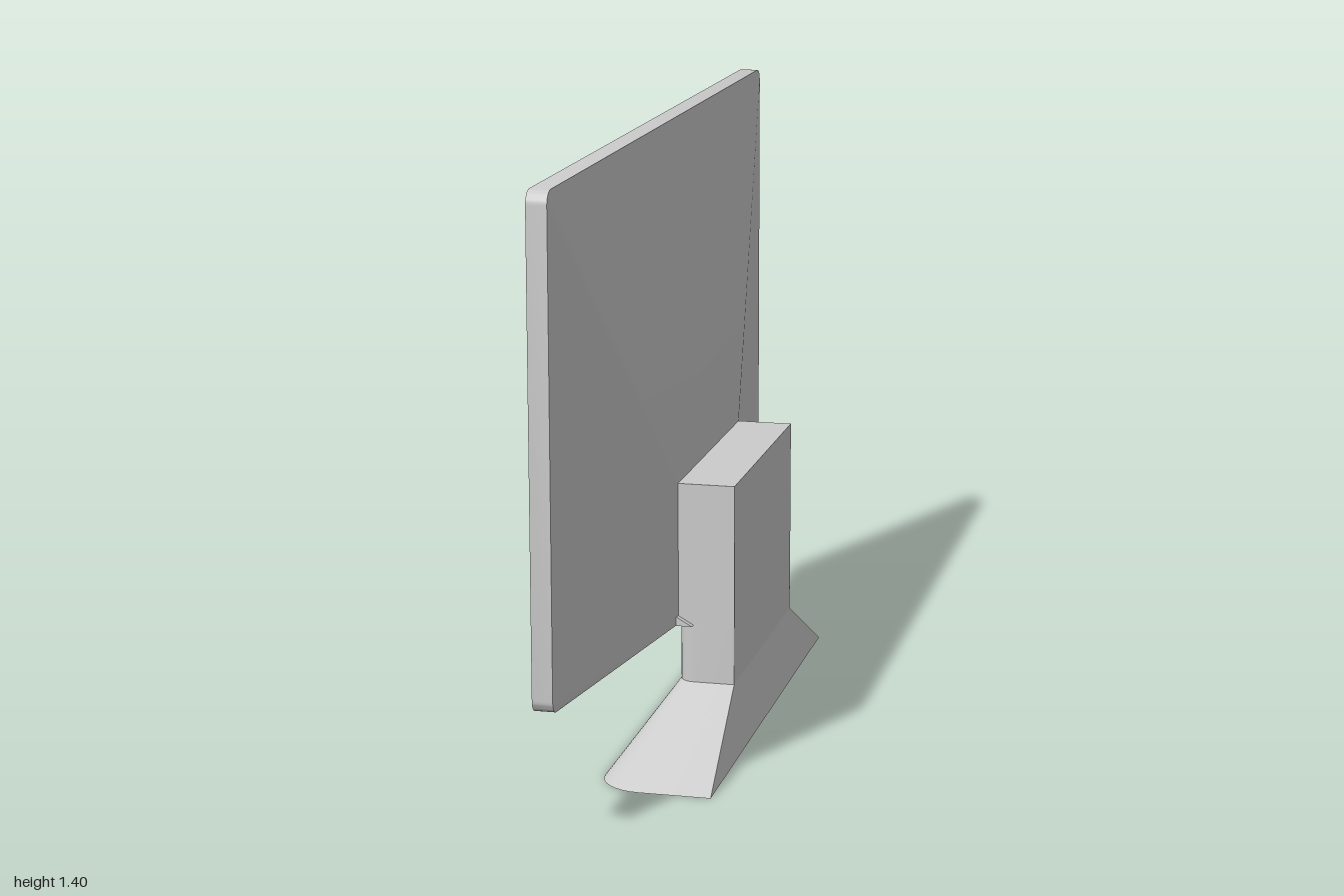
import * as THREE from 'three';
import { toCreasedNormals } from 'three/addons/utils/BufferGeometryUtils.js';

const STEPS = 8;

// Counter-clockwise rounded rectangle; lower and upper v edges may have different radii.
function roundRect(u0, u1, v0, v1, rLow, rHigh = rLow) {
  const corners = [
    [u1 - rLow, v0 + rLow, rLow, -0.5], [u1 - rHigh, v1 - rHigh, rHigh, 0],
    [u0 + rHigh, v1 - rHigh, rHigh, 0.5], [u0 + rLow, v0 + rLow, rLow, 1],
  ];
  const pts = [];
  for (const [cu, cv, r, start] of corners) {
    for (let i = 0; i <= STEPS; i++) {
      const a = Math.PI * (start + 0.5 * i / STEPS);
      pts.push([cu + r * Math.cos(a), cv + r * Math.sin(a)]);
    }
  }
  return pts;
}

// Rings across the x axis (u = y, v = z) and across the y axis (u = z, v = x).
const ringX = (x, ...rect) => roundRect(...rect).map(([y, z]) => new THREE.Vector3(x, y, z));
const ringY = (y, ...rect) => roundRect(...rect).map(([z, x]) => new THREE.Vector3(x, y, z));

// Skin between successive rings, with optional flat ends.
function loft(rings, capStart, capEnd) {
  const pos = [];
  const tri = (...vs) => vs.forEach(v => pos.push(v.x, v.y, v.z));
  const n = rings[0].length;
  for (let k = 0; k < rings.length - 1; k++) {
    for (let i = 0; i < n; i++) {
      const j = (i + 1) % n, a = rings[k], b = rings[k + 1];
      tri(a[i], a[j], b[j]);
      tri(a[i], b[j], b[i]);
    }
  }
  const first = rings[0], last = rings[rings.length - 1];
  for (let i = 1; i < n - 1; i++) {
    if (capStart) tri(first[0], first[i + 1], first[i]);
    if (capEnd) tri(last[0], last[i], last[i + 1]);
  }
  const geo = new THREE.BufferGeometry();
  geo.setAttribute('position', new THREE.Float32BufferAttribute(pos, 3));
  return toCreasedNormals(geo, 0.4);
}

export function createModel() {
  const group = new THREE.Group();
  const material = new THREE.MeshStandardMaterial({ color: 0xcccccc });
  const add = (name, geometry) => {
    const mesh = new THREE.Mesh(geometry, material);
    mesh.name = name;
    group.add(mesh);
    return mesh;
  };

  // Frame with a recessed opening, facing -x
  const b = 0.06;
  const opening = [0.3 + b, 1.4 - b, -1 + b, 1 - b, 0.05];
  const outline = [0.3, 1.4, -1, 1, 0.03];
  add('screenFrame', loft([
    ringX(-0.105, ...opening), ringX(-0.145, ...opening),
    ringX(-0.145, ...outline), ringX(-0.1, ...outline),
  ], false, false));

  // Display panel at the bottom of the recess
  add('displayPanel', loft([ringX(-0.105, ...opening)], true, false));

  // Back shell tapering to the mount
  add('backShell', loft([
    ringX(-0.1, ...outline), ringX(0, 0.3, 0.63, -0.31, 0.31, 0.003),
  ], false, true));

  // Upper block of the stand
  add('mountBlock', new THREE.BoxGeometry(0.13, 0.33, 0.62)).position.set(0.065, 0.465, 0);

  // Small lip under the shell where it meets the stand
  const lip = new THREE.Shape([[-0.01, 0.3], [0.035, 0.3], [0, 0.32], [-0.01, 0.32]]
    .map(p => new THREE.Vector2(...p)));
  add('shellLip', new THREE.ExtrudeGeometry(lip, { depth: 0.65, bevelEnabled: false }))
    .position.z = -0.325;

  // Lower neck flaring out into the foot, rounded on the screen side
  const neck = [-0.31, 0.31, 0, 0.13, 0.035, 0.002];
  add('foot', loft([
    ringY(0, -0.61, 0.61, -0.12, 0.145, 0.1, 0.002), ringY(0.165, ...neck),
  ], true, false));
  add('neck', loft([ringY(0.165, ...neck), ringY(0.302, ...neck)], false, true));

  return group;
}
